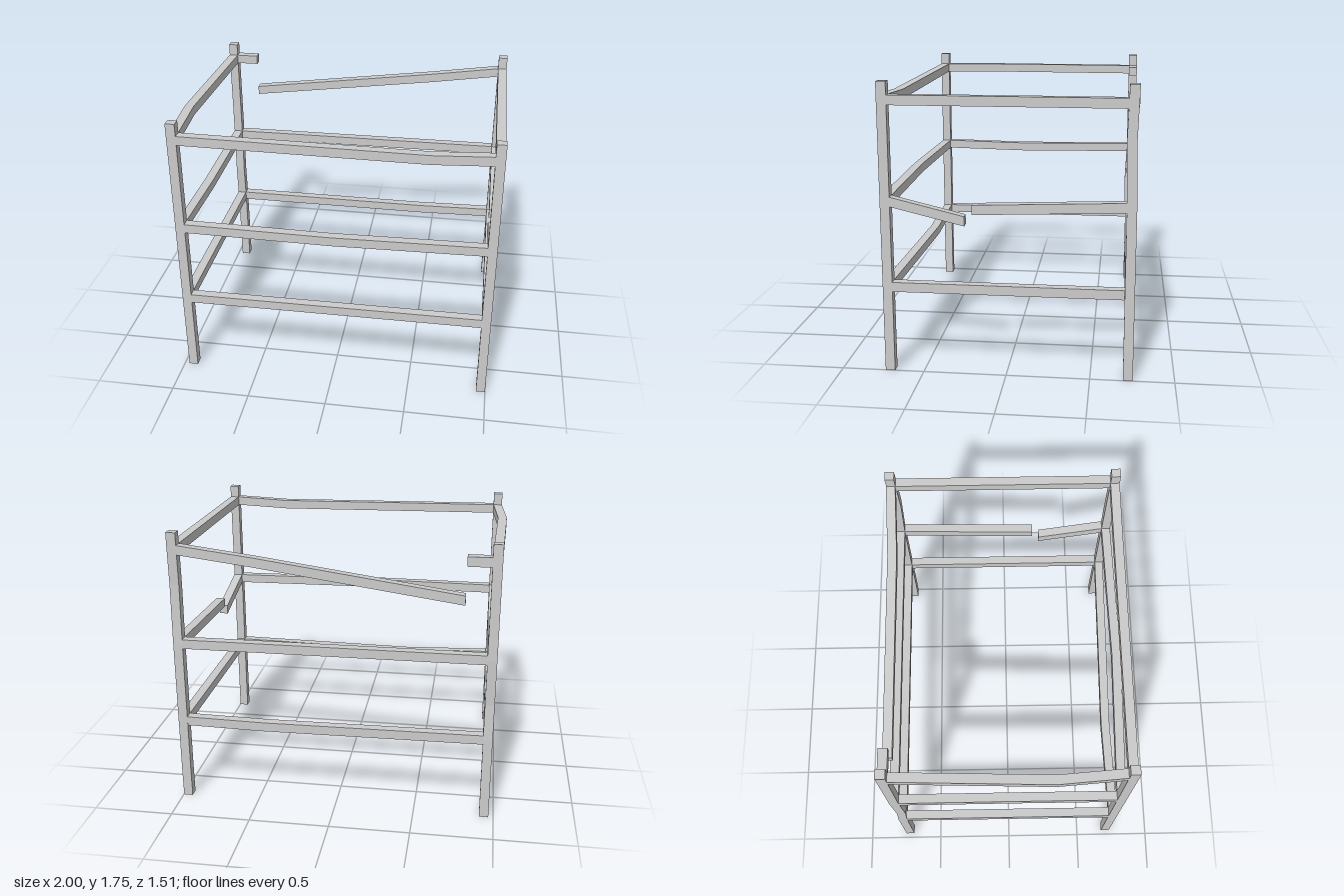
import * as THREE from 'three';

const SIZE = 0.058; // thickness of every beam
const L = 0.971, R = -0.941, F = 0.706, B = -0.722; // post centre lines
const H = SIZE / 2;

export function createModel() {
  const model = new THREE.Group();
  const material = new THREE.MeshStandardMaterial({ color: 0xcccccc, flatShading: true });

  // Square beam whose cross-sections follow a slightly bent line along one axis
  function beam(name, axis, points) {
    const n = points.length - 1;
    const dims = [SIZE, SIZE, SIZE], segs = [1, 1, 1];
    dims[axis] = 1;
    segs[axis] = n;
    const geometry = new THREE.BoxGeometry(...dims, ...segs);
    // run from the low end to the high end so faces keep pointing outward
    const line = [...points].sort((a, b) => a[axis] - b[axis]);
    const pos = geometry.attributes.position;
    for (let i = 0; i < pos.count; i++) {
      const v = [pos.getX(i), pos.getY(i), pos.getZ(i)];
      const c = line[Math.round((v[axis] + 0.5) * n)];
      v[axis] = 0;
      pos.setXYZ(i, v[0] + c[0], v[1] + c[1], v[2] + c[2]);
    }
    geometry.computeVertexNormals();
    const mesh = new THREE.Mesh(geometry, material);
    mesh.name = name;
    model.add(mesh);
  }

  // Posts
  beam('frontLeftPost', 1, [[L, 0, F], [L, 1.75, F]]);
  beam('frontRightPost', 1, [[R, 0, F], [R, 1.75, F]]);
  beam('backLeftPost', 1, [[L - 0.002, 0, B - 0.003], [L, 0.18, B - 0.002], [L, 1.05, B], [L, 1.42, B + 0.01], [L, 1.75, B]]);
  beam('backRightPost', 1, [[R, 0, B], [R, 0.53, B], [R, 0.76, B + 0.012], [R, 1.05, B], [R, 1.75, B]]);

  // Rails between posts; the optional bend is [position along rail, sideways, up]
  const x0 = R + H, x1 = L - H, z0 = B + H, z1 = F - H;
  const TOP = 1.644, MID = 1.05, LOW = 0.531;
  const crossRail = (name, y, z, bend) => beam(name, 0,
    [[x0, y, z], ...(bend ? [[bend[0], y + bend[2], z + bend[1]]] : []), [x1, y, z]]);
  const sideRail = (name, y, x, bend) => beam(name, 2,
    [[x, y, z0], ...(bend ? [[x + bend[1], y + bend[2], bend[0]]] : []), [x, y, z1]]);

  crossRail('frontTopRail', TOP, F, [0.58, 0, -0.016]);
  crossRail('frontMiddleRail', MID, F, [0, 0.02, 0]);
  crossRail('frontLowerRail', LOW, F, [-0.32, -0.017, -0.012]);
  crossRail('backMiddleRail', MID, B);
  crossRail('backLowerRail', LOW, B, [0.45, 0, -0.008]);

  sideRail('leftTopRail', TOP, L);
  sideRail('leftLowerRail', LOW, L);
  sideRail('rightTopRail', TOP, R, [0.27, -0.03, 0]);
  sideRail('rightMiddleRail', MID, R, [0.1, 0.003, -0.01]);
  sideRail('rightLowerRail', LOW, R);

  // Snapped back top rail: short stub and long hanging piece
  beam('backTopRailStub', 0, [[x0, TOP, B], [-0.77, TOP, B]]);
  beam('backTopRailHanging', 0, [[x1, TOP, B], [0.48, 1.582, B + 0.014], [-0.77, 1.412, B - 0.003]]);

  // Snapped left middle rail: drooping front piece and longer back piece
  beam('leftMiddleRailFront', 2, [[L, MID, z1], [L - 0.003, 0.945, 0.24]]);
  beam('leftMiddleRailBack', 2, [[L, MID, z0], [L, 1.015, 0.195]]);

  return model;
}
